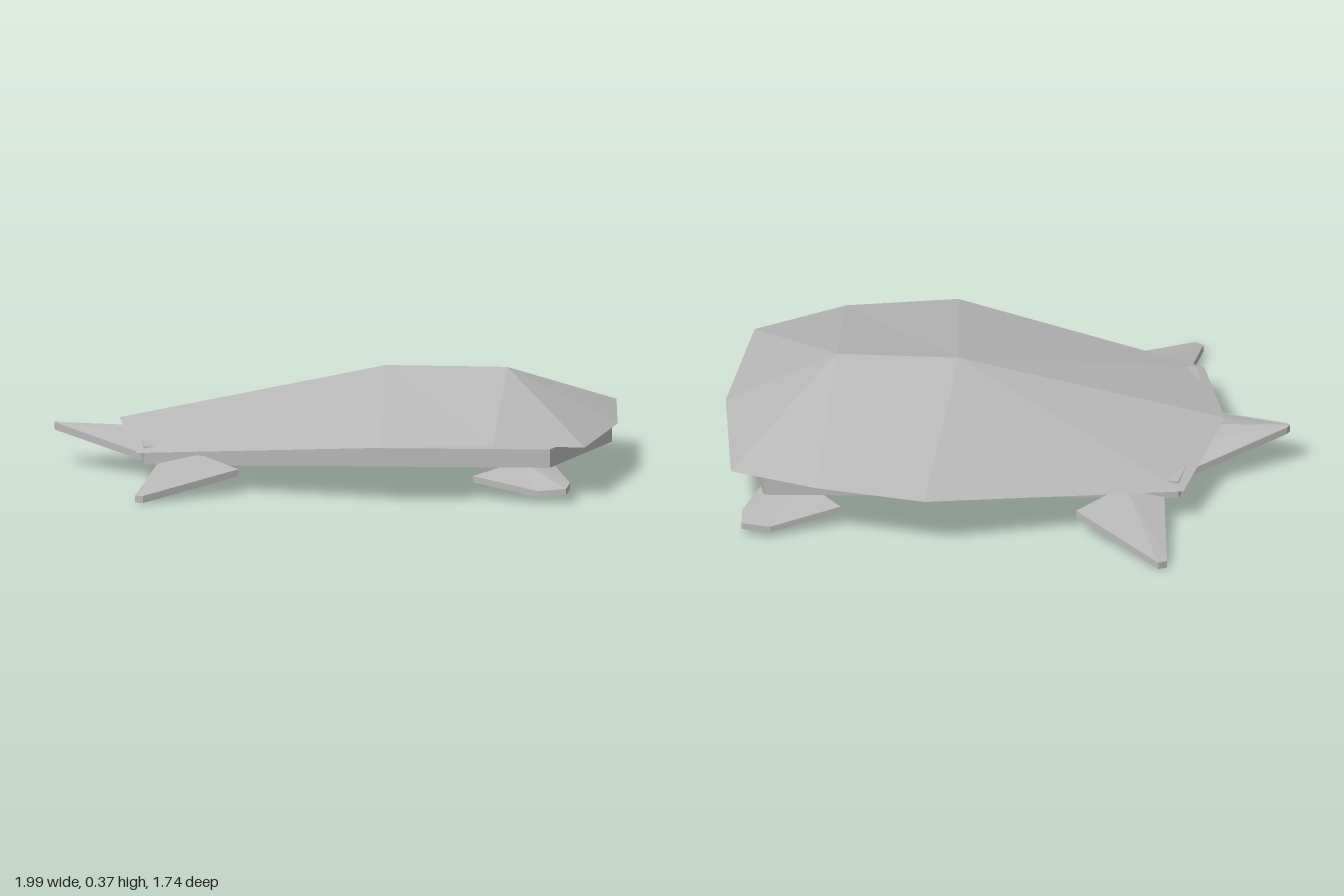
import * as THREE from 'three';

const grey = new THREE.MeshStandardMaterial({ color: 0xb8b8b8, flatShading: true, side: THREE.DoubleSide });
grey.name = 'plain grey';

const flip = ([x, y, z]) => [x, y, -z];

function facets(name, triangles) {
  const geometry = new THREE.BufferGeometry();
  geometry.setAttribute('position', new THREE.Float32BufferAttribute(triangles.flat(2), 3));
  geometry.computeVertexNormals();
  const mesh = new THREE.Mesh(geometry, grey);
  mesh.name = name;
  return mesh;
}

// Folded plate: a fan of facets around the first point, thickened downwards
function plate(name, points, thickness) {
  const area = points.reduce((sum, p, i) => {
    const q = points[(i + 1) % points.length];
    return sum + p[2] * q[0] - p[0] * q[2];
  }, 0);
  const top = area > 0 ? points : [points[0], ...points.slice(1).reverse()];
  const low = top.map(([x, y, z]) => [x, y - thickness, z]);
  const triangles = [];
  top.forEach((p, i) => {
    const j = (i + 1) % top.length;
    if (i > 0 && j > 0) triangles.push([top[0], p, top[j]], [low[0], low[j], low[i]]);
    triangles.push([p, low[i], low[j]], [p, low[j], top[j]]);
  });
  return facets(name, triangles);
}

// Closes a half outline, whose ends lie on the centre line, by mirroring it
const mirrored = (half) => [...half, ...half.slice(1, -1).reverse().map(flip)];

export function createModel() {
  const model = new THREE.Group();
  model.name = 'turtle';

  // Faceted open dome with a short ridge
  const ridgeA = [0.17, 0.37, 0], ridgeB = [0.6, 0.37, 0];
  const rim = [[-0.77, 0.17, 0], [-0.66, 0.12, 0.49], [0.23, 0.2, 0.8],
    [0.62, 0.2, 0.72], [0.93, 0.175, 0.56], [0.99, 0.175, 0]];
  const half = [];
  for (let i = 0; i < 5; i++) half.push([i < 3 ? ridgeA : ridgeB, rim[i], rim[i + 1]]);
  half.push([ridgeA, rim[3], ridgeB]);
  const otherHalf = half.map(([a, b, c]) => [flip(a), flip(c), flip(b)]);
  model.add(facets('shell', [...half, ...otherHalf]));

  // Belly plate under the shell
  model.add(plate('belly', mirrored([[0.97, 0.175, 0], [0.81, 0.172, 0.6],
    [-0.64, 0.138, 0.45], [-0.71, 0.165, 0]]), 0.065));

  // Pointed, roof-shaped head
  model.add(plate('head', mirrored([[-1, 0.15, 0], [-0.99, 0.148, 0.018],
    [-0.62, 0.07, 0.27], [-0.6, 0.115, 0.13], [-0.6, 0.14, 0]]), 0.025));

  // Flippers and hind legs, folded along a ridge
  const flipper = [[-0.45, 0.115, 0.45], [-0.585, 0.085, 0.4], [-0.63, 0.025, 0.85],
    [-0.6, 0.027, 0.87], [-0.29, 0.085, 0.6]];
  const hindLeg = [[0.69, 0.11, 0.47], [0.54, 0.075, 0.61], [0.78, 0.042, 0.72],
    [0.88, 0.052, 0.72], [0.885, 0.06, 0.63], [0.8, 0.085, 0.37]];
  for (const [side, place] of [['Left', (p) => p], ['Right', flip]]) {
    model.add(plate('flipper' + side, flipper.map(place), 0.025));
    model.add(plate('hindLeg' + side, hindLeg.map(place), 0.022));
  }
  return model;
}
